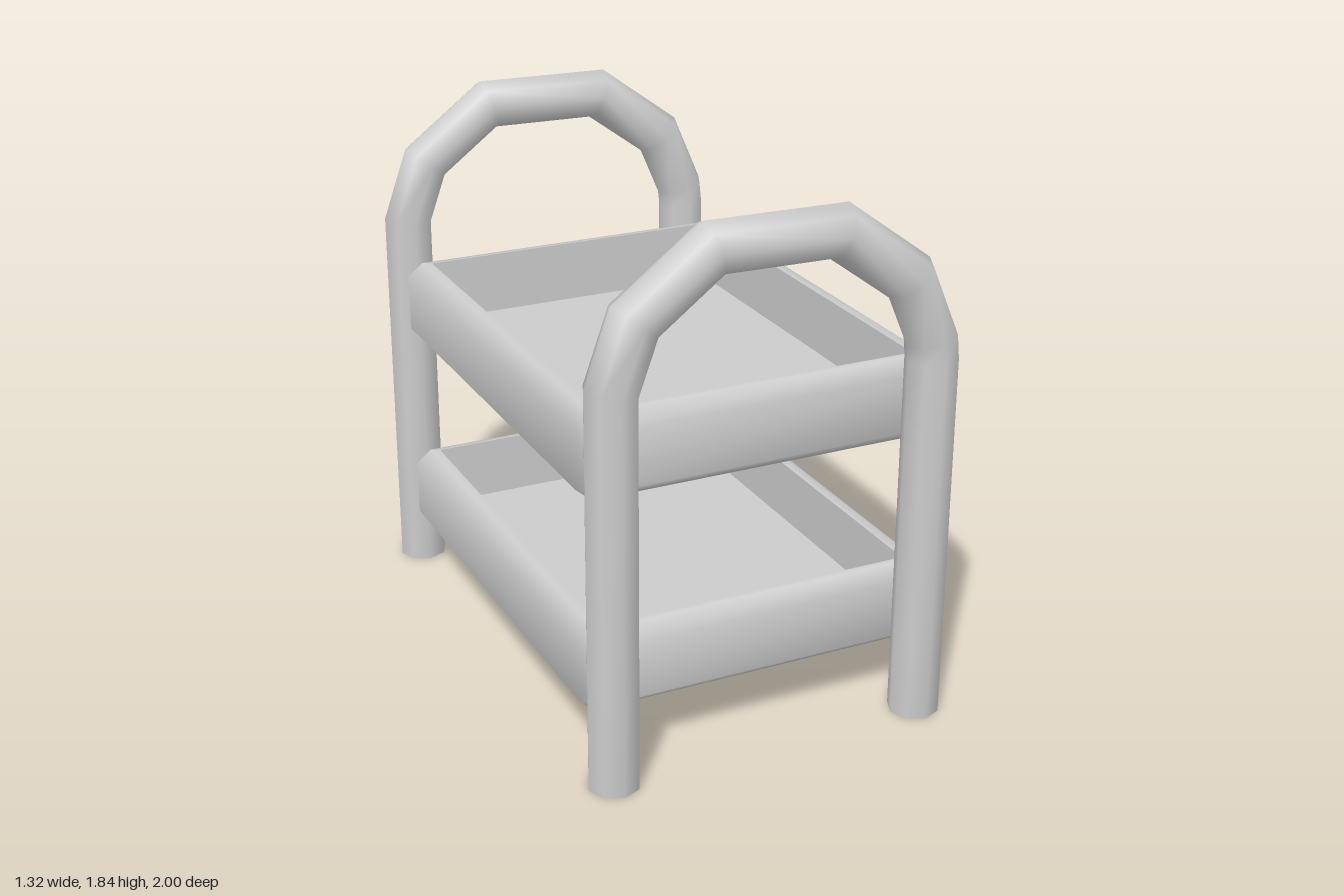
import * as THREE from 'three';

const material = new THREE.MeshStandardMaterial({ color: 0xcccccc, side: THREE.DoubleSide });

// Skins a list of equal-length rings of Vector3 into a closed-around surface.
function loft(rings, flat = false) {
  const n = rings[0].length;
  const index = [];
  for (let i = 0; i < rings.length - 1; i++) {
    for (let j = 0; j < n; j++) {
      const a = i * n + j, b = i * n + (j + 1) % n;
      index.push(a, b, b + n, a, b + n, a + n);
    }
  }
  let geometry = new THREE.BufferGeometry().setFromPoints(rings.flat());
  geometry.setIndex(index);
  if (flat) geometry = geometry.toNonIndexed();
  geometry.computeVertexNormals();
  return geometry;
}

// Rectangle with cut corners at height y, counterclockwise from above.
function rectRing(x0, x1, hz, y, c = 0) {
  return [
    [x1, hz - c], [x1, -hz + c], [x1 - c, -hz], [x0 + c, -hz],
    [x0, -hz + c], [x0, hz - c], [x0 + c, hz], [x1 - c, hz],
  ].map(([x, z]) => new THREE.Vector3(x, y, z));
}

// Mitred eight-sided tube along a path in the xy plane.
function archGeometry(path, radius, sides = 8) {
  const points = path.map(([x, y]) => new THREE.Vector3(x, y, 0));
  const zAxis = new THREE.Vector3(0, 0, 1);
  const direction = (i) => points[i + 1].clone().sub(points[i]).normalize();
  const last = points.length - 1;
  const rings = points.map((p, i) => {
    const before = direction(Math.max(i - 1, 0));
    const after = direction(Math.min(i, last - 1));
    const along = before.clone().add(after).normalize();
    const side = zAxis.clone().cross(along).multiplyScalar(1 / along.dot(before));
    return Array.from({ length: sides }, (_, j) => {
      const t = (j / sides) * Math.PI * 2;
      return p.clone()
        .addScaledVector(side, radius * Math.cos(t))
        .addScaledVector(zAxis, radius * Math.sin(t));
    });
  });
  return loft(rings);
}

// Shallow tray with bevelled outside and a sharp-edged recess.
function createTray(name, y0) {
  const x0 = -0.63, x1 = 0.66, hz = 0.825, y1 = y0 + 0.29, b = 0.055;
  const inner = [-0.545, 0.57, 0.75];
  const tray = new THREE.Group();
  tray.name = name;

  const shell = new THREE.Mesh(loft([
    rectRing(0.015, 0.015, 0, y0),
    rectRing(x0 + b, x1 - b, hz - b, y0),
    rectRing(x0, x1, hz, y0 + 0.045, b),
    rectRing(x0, x1, hz, y1 - 0.045, b),
    rectRing(x0 + b, x1 - b, hz - b, y1),
    rectRing(...inner, y1),
  ]), material);
  shell.name = 'trayShell';

  const floorY = y0 + 0.07;
  const recess = new THREE.Mesh(loft([
    rectRing(...inner, y1),
    rectRing(...inner, floorY),
    rectRing(0.0125, 0.0125, 0, floorY),
  ], true), material);
  recess.name = 'trayRecess';

  tray.add(shell, recess);
  return tray;
}

export function createModel() {
  const model = new THREE.Group();
  model.name = 'trolley';

  // Arched end frames, front and back
  const archPath = [
    [-0.575, 0], [-0.575, 1.355], [-0.5, 1.565], [-0.25, 1.753], [0.185, 1.747],
    [0.44, 1.56], [0.53, 1.35], [0.5375, 1.28], [0.5375, 0],
  ];
  const arch = archGeometry(archPath, 0.0875);
  for (const [name, z] of [['frontArch', 0.9125], ['backArch', -0.9125]]) {
    const mesh = new THREE.Mesh(arch, material);
    mesh.name = name;
    mesh.position.z = z;
    model.add(mesh);
  }

  // Two trays
  model.add(createTray('lowerTray', 0.195), createTray('upperTray', 0.94));
  return model;
}
